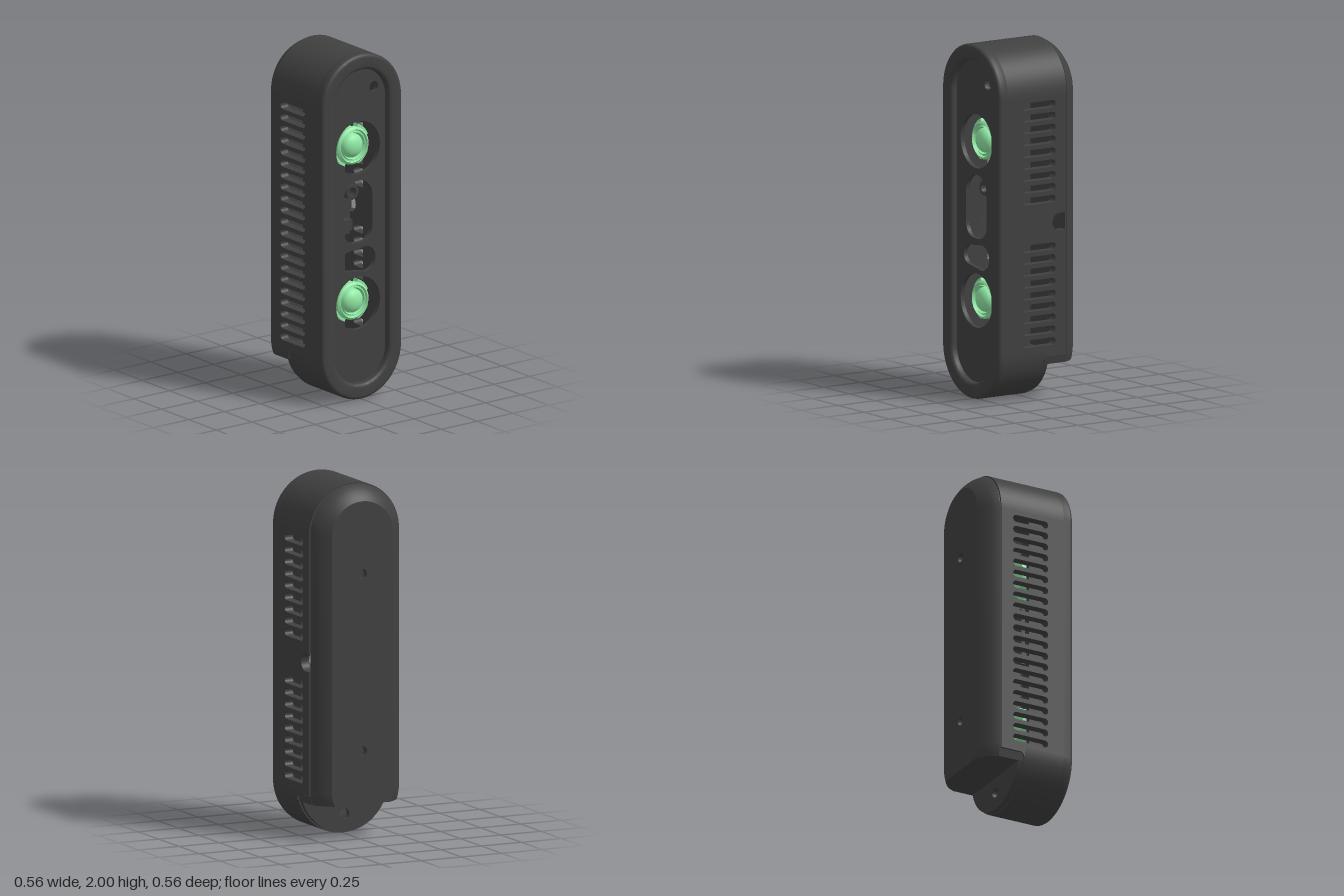
import * as THREE from 'three';
import { toCreasedNormals } from 'three/addons/utils/BufferGeometryUtils.js';

const PI = Math.PI;
const LOW = 0.28, HIGH = 1.72; // centres of the two round ends
const dark = new THREE.MeshStandardMaterial({ color: 0x404040, side: THREE.DoubleSide });
const green = new THREE.MeshStandardMaterial({ color: 0x90e8a4, side: THREE.DoubleSide });

function mesh(name, geometry, material = dark) {
  const m = new THREE.Mesh(geometry, material);
  m.name = name;
  return m;
}

// Extrudes a (-z, y) outline along x from x0 to x1
function alongX(shape, x0, x1, bevel = 0) {
  const g = new THREE.ExtrudeGeometry(shape, {
    depth: x1 - x0 - 2 * bevel, curveSegments: 28, bevelEnabled: bevel > 0,
    bevelSize: bevel, bevelThickness: bevel, bevelSegments: 4,
  });
  g.rotateY(PI / 2).translate(x0 + bevel, 0, 0);
  return toCreasedNormals(g, 0.6);
}

function stadium(r, Type = THREE.Shape) {
  const s = new Type();
  s.absarc(0, HIGH, r, 0, PI);
  s.absarc(0, LOW, r, PI, 2 * PI);
  s.closePath();
  return s;
}

function stadiumRing(outer, inner) {
  const s = stadium(outer);
  s.holes.push(stadium(inner, THREE.Path));
  return s;
}

function circle(x, y, r) {
  return new THREE.Path().absarc(x, y, r, 0, 2 * PI);
}

// Horizontal opening with round ends of radius r0 and r1
function opening(x0, y0, r0, x1, y1, r1) {
  const p = new THREE.Path();
  p.absarc(x1, y1, r1, -PI / 2, PI / 2);
  p.absarc(x0, y0, r0, PI / 2, 1.5 * PI);
  p.closePath();
  return p;
}

function endArch(y, start) {
  const s = new THREE.Shape();
  s.absarc(0, y, 0.28, start, start + PI);
  s.absarc(0, y, 0.23, start + PI, start, true);
  s.closePath();
  return s;
}

// Straight side wall with its ventilation slots; the right one has a cable notch
function sideWall(side) {
  const s = new THREE.Shape();
  s.moveTo(0.255, HIGH);
  s.lineTo(-0.176, HIGH);
  if (side < 0) {
    s.lineTo(-0.176, 1.05);
    s.lineTo(-0.13, 1.05);
    s.absarc(-0.13, 1, 0.05, PI / 2, -PI / 2, true);
    s.lineTo(-0.176, 0.95);
  }
  s.lineTo(-0.176, 0.25);
  s.lineTo(-0.06, 0.25);
  s.quadraticCurveTo(-0.03, 0.25, -0.03, 0.21);
  s.lineTo(-0.02, 0.28);
  s.lineTo(0.255, LOW);
  s.closePath();
  for (let i = 0; i < 21; i++) {
    if (side < 0 && i > 8 && i < 12) continue;
    const y = 0.33 + i * 0.067;
    s.holes.push(opening(-0.08, y, 0.021, 0.1, y, 0.021));
  }
  const g = new THREE.ExtrudeGeometry(s, { depth: 0.05, bevelEnabled: false, curveSegments: 8 });
  g.translate(0, 0, side > 0 ? 0.23 : -0.28);
  return toCreasedNormals(g, 0.6);
}

// Cross-section of the back cover: a stadium cut flat at y = 0.2
function coverSection(w) {
  const a = Math.asin(0.08 / w), pts = [];
  const arc = (cy, from, to, n) => {
    for (let i = 0; i <= n; i++) {
      const t = from + (to - from) * i / n;
      pts.push(new THREE.Vector2(w * Math.cos(t), cy + w * Math.sin(t)));
    }
  };
  arc(LOW, -a, 0, 5);
  arc(HIGH, 0, PI, 40);
  arc(LOW, PI, PI + a, 5);
  return pts;
}

function backCover() {
  const group = new THREE.Group();
  group.name = 'backCover';
  const rings = [[-0.28, 0.19], [-0.265, 0.211], [-0.245, 0.234], [-0.222, 0.254], [-0.2, 0.267], [-0.182, 0.275]];
  const pos = [], idx = [];
  rings.forEach(([x, w], i) => {
    const loop = coverSection(w), n = loop.length;
    loop.forEach((p, j) => {
      pos.push(x, p.y, p.x);
      if (i === rings.length - 1) return;
      const a = i * n + j, b = i * n + (j + 1) % n;
      idx.push(a, a + n, b, b, a + n, b + n);
    });
  });
  const g = new THREE.BufferGeometry();
  g.setAttribute('position', new THREE.Float32BufferAttribute(pos, 3));
  g.setIndex(idx);
  group.add(mesh('roundedEdge', toCreasedNormals(g.toNonIndexed(), 0.5)));

  // Flat back with two screw holes, and the inner face
  const face = new THREE.Shape(coverSection(0.19));
  for (const y of [0.5, 1.5]) {
    face.holes.push(circle(0, y, 0.028));
    const cup = new THREE.LatheGeometry([[0, 0.04], [0.028, 0.04], [0.028, 0]].map(p => new THREE.Vector2(...p)), 20);
    cup.rotateZ(-PI / 2).translate(-0.28, y, 0);
    group.add(mesh('screwHole', toCreasedNormals(cup, 0.6)));
  }
  group.add(mesh('backFace', new THREE.ShapeGeometry(face, 20).rotateY(-PI / 2).translate(-0.28, 0, 0)));
  const inner = new THREE.ShapeGeometry(new THREE.Shape(coverSection(0.275)));
  group.add(mesh('innerFace', inner.rotateY(PI / 2).translate(-0.182, 0, 0)));

  // Step under the cover and the mounting flange that closes the lower end
  const step = new THREE.Shape([[-0.264, 0.2], [0.264, 0.2], [0.274, 0.247], [-0.274, 0.247]].map(p => new THREE.Vector2(...p)));
  group.add(mesh('step', alongX(step, -0.184, -0.03)));
  const flange = new THREE.Shape();
  flange.absarc(0, LOW, 0.272, PI + 0.2, 2 * PI - 0.2);
  flange.closePath();
  flange.holes.push(circle(0, 0.11, 0.03));
  group.add(mesh('mountingFlange', alongX(flange, -0.06, -0.028)));
  return group;
}

function lens(y) {
  const group = new THREE.Group();
  group.name = 'lens';
  const profile = [[0, 0.06], [0.1, 0.06], [0.1, 0.17], [0.108, 0.175], [0.108, 0.195], [0.095, 0.205],
    [0.09, 0.19], [0.082, 0.19], [0.078, 0.2], [0.07, 0.18], [0, 0.18]];
  const barrel = new THREE.LatheGeometry(profile.map(p => new THREE.Vector2(...p)), 40).rotateZ(-PI / 2);
  group.add(mesh('barrel', toCreasedNormals(barrel, 0.5), green));
  const dome = new THREE.SphereGeometry(0.07, 32, 12, 0, 2 * PI, 0, PI / 2);
  dome.scale(1, 0.65, 1).rotateZ(-PI / 2).translate(0.18, 0, 0);
  group.add(mesh('dome', dome, green));
  // Four diagonal tabs around the barrel
  for (let i = 0; i < 4; i++) {
    const a = PI / 4 + i * PI / 2, tab = new THREE.Shape();
    tab.absarc(0, 0, 0.124, a - 0.4, a + 0.4);
    tab.absarc(0, 0, 0.1, a + 0.4, a - 0.4, true);
    tab.closePath();
    group.add(mesh('tab', alongX(tab, 0.14, 0.18), green));
  }
  group.position.y = y;
  return group;
}

export function createModel() {
  const model = new THREE.Group();
  model.name = 'stereoCamera';

  // Outer shell
  const shell = new THREE.Group();
  shell.name = 'shell';
  shell.add(mesh('topArch', alongX(endArch(HIGH, 0), -0.176, 0.255)));
  shell.add(mesh('bottomArch', alongX(endArch(LOW, PI), -0.03, 0.255)));
  shell.add(mesh('leftWall', sideWall(1)), mesh('rightWall', sideWall(-1)));
  shell.add(mesh('frontRim', alongX(stadiumRing(0.26, 0.21), 0.2, 0.28, 0.02)));
  model.add(shell, backCover());

  // Recessed seam between shell and cover
  const seam = new THREE.Shape(coverSection(0.27));
  seam.holes.push(new THREE.Path(coverSection(0.235)));
  model.add(mesh('seam', alongX(seam, -0.184, -0.172)));

  // Face panel with its openings, and the skirt behind it
  const panel = stadium(0.2);
  panel.holes.push(circle(0, 1.45, 0.153), circle(0, 0.55, 0.153), circle(0.11, 1.785, 0.03));
  panel.holes.push(opening(-0.065, 0.8, 0.056, 0.05, 0.797, 0.072));
  const tall = new THREE.Path();
  tall.absarc(0, 1.16, 0.1, 0, PI);
  tall.absarc(-0.02, 0.98, 0.08, PI, 1.5 * PI);
  tall.absarc(0.02, 0.98, 0.08, 1.5 * PI, 2 * PI);
  tall.closePath();
  panel.holes.push(tall);
  model.add(mesh('facePanel', alongX(panel, 0.215, 0.24)));
  model.add(mesh('panelSkirt', alongX(stadiumRing(0.225, 0.195), 0.03, 0.225)));

  model.add(lens(1.45), lens(0.55));

  // Connector and sensor inside the tall opening
  const board = mesh('board', new THREE.BoxGeometry(0.02, 0.34, 0.1));
  board.position.set(0.09, 1.08, 0);
  const nut = new THREE.Shape();
  for (let i = 0; i < 6; i++) {
    const a = i * PI / 3;
    nut[i ? 'lineTo' : 'moveTo'](0.07 * Math.cos(a), 1.18 + 0.07 * Math.sin(a));
  }
  nut.holes.push(circle(0, 1.18, 0.042));
  const stud = new THREE.Shape().absarc(0, 1.18, 0.042, 0, 2 * PI);
  stud.holes.push(circle(0, 1.18, 0.026));
  const sensor = mesh('sensor', new THREE.BoxGeometry(0.06, 0.06, 0.06));
  sensor.position.set(0.12, 0.977, 0);
  model.add(board, sensor, mesh('nut', alongX(nut, 0.1, 0.15)), mesh('stud', alongX(stud, 0.1, 0.19)));
  return model;
}
